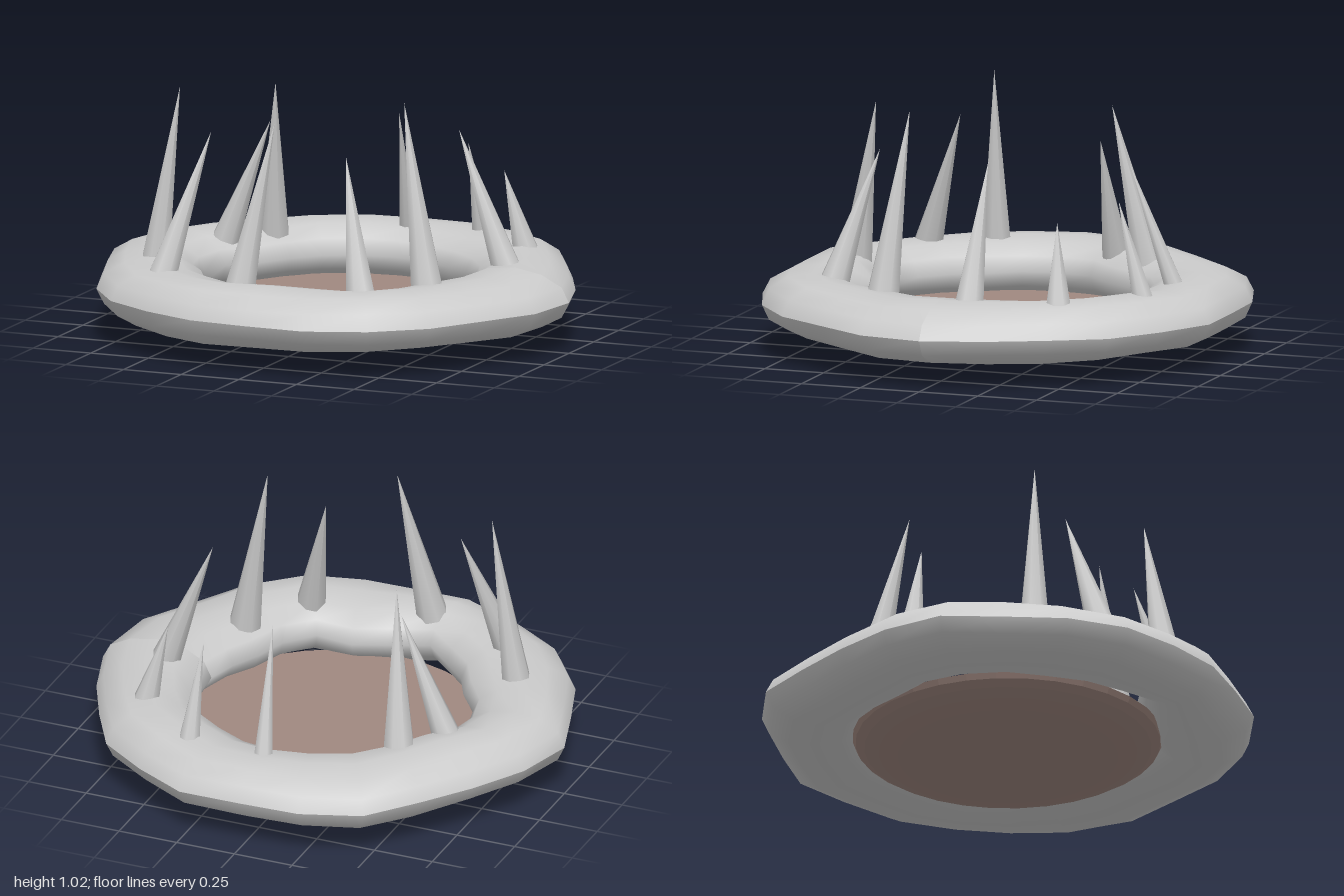
import * as THREE from 'three';

const TAU = Math.PI * 2;
const grey = new THREE.MeshStandardMaterial({ color: 0xcccccc });
const brown = new THREE.MeshStandardMaterial({ color: 0xa08880, flatShading: true });

// Outer and inner radius of the rim, every 15 degrees from +x towards +z
const OUTER = [1, 1, 0.96, 0.985, 0.99, 0.98, 0.94, 0.95, 0.95, 0.975, 0.97, 0.955,
  1, 0.965, 0.93, 0.935, 0.995, 0.98, 0.955, 0.99, 0.965, 0.975, 0.94, 0.955];
const INNER = [0.53, 0.51, 0.5, 0.55, 0.58, 0.5, 0.535, 0.62, 0.56, 0.545, 0.52, 0.56,
  0.575, 0.57, 0.51, 0.525, 0.55, 0.56, 0.56, 0.55, 0.54, 0.545, 0.54, 0.54];

// Spikes: base x, base z, base radius, tip x, tip y, tip z
const SPIKES = [
  [0, -0.71, 0.04, 0.035, 0.8, -0.53],
  [0.325, -0.7, 0.045, 0.31, 0.69, -0.59],
  [0.62, -0.45, 0.055, 0.54, 0.63, -0.415],
  [0.69, -0.095, 0.062, 0.48, 0.85, -0.1],
  [0.525, 0.33, 0.067, 0.4, 1.02, 0.265],
  [0.355, 0.6, 0.062, 0.23, 0.82, 0.455],
  [-0.13, 0.69, 0.066, -0.03, 0.96, 0.57],
  [-0.53, 0.535, 0.06, -0.4, 0.855, 0.35],
  [-0.665, 0.295, 0.06, -0.57, 1.01, 0.27],
  [-0.59, -0.24, 0.058, -0.4, 0.79, -0.245],
  [-0.465, -0.425, 0.065, -0.4, 0.935, -0.295],
];

// Lumpy flattened torus, its radii taken from the two lists
function rimGeometry() {
  const sides = 12, steps = OUTER.length;
  const geo = new THREE.TorusGeometry(0.75, 0.2, sides, steps);
  geo.rotateX(Math.PI / 2);
  const pos = geo.attributes.position;
  for (let j = 0; j <= sides; j++) {
    const v = (j % sides) / sides * TAU;
    for (let i = 0; i <= steps; i++) {
      const k = i % steps, a = k / steps * TAU;
      const mid = (OUTER[k] + INNER[k]) / 2, half = (OUTER[k] - INNER[k]) / 2;
      const r = mid + half * Math.cos(v);
      const lump = 1 + 0.05 * Math.sin(3 * a + 2 * v) + 0.03 * Math.sin(7 * a - v);
      const y = 0.205 - 0.122 * Math.sin(v) * lump;
      pos.setXYZ(j * (steps + 1) + i, r * Math.cos(a), y, r * Math.sin(a));
    }
  }
  geo.computeVertexNormals();
  return geo;
}

// Shallow bowl with a flat top
function floorGeometry() {
  const profile = [];
  for (let i = 0; i <= 8; i++) {
    const t = i / 8 * Math.PI / 2;
    profile.push(new THREE.Vector2(0.62 * Math.sin(t), 0.12 * (1 - Math.cos(t))));
  }
  profile.push(new THREE.Vector2(0, 0.12));
  return new THREE.LatheGeometry(profile, 32);
}

// Eight-sided cone standing on the rim and leaning to its tip
function spike([bx, bz, radius, tx, ty, tz]) {
  const base = new THREE.Vector3(bx, 0.295, bz);
  const axis = new THREE.Vector3(tx, ty, tz).sub(base);
  const height = axis.length();
  const geo = new THREE.ConeGeometry(radius, height, 8);
  geo.translate(0, height / 2, 0);
  const mesh = new THREE.Mesh(geo, grey);
  mesh.position.copy(base);
  mesh.quaternion.setFromUnitVectors(new THREE.Vector3(0, 1, 0), axis.normalize());
  mesh.name = 'spike';
  return mesh;
}

export function createModel() {
  const model = new THREE.Group();
  model.name = 'spikedPit';

  const rim = new THREE.Mesh(rimGeometry(), grey);
  rim.name = 'rim';
  const floor = new THREE.Mesh(floorGeometry(), brown);
  floor.name = 'pitFloor';
  const spikes = new THREE.Group();
  spikes.name = 'spikes';
  SPIKES.forEach((s) => spikes.add(spike(s)));

  model.add(rim, floor, spikes);
  return model;
}
